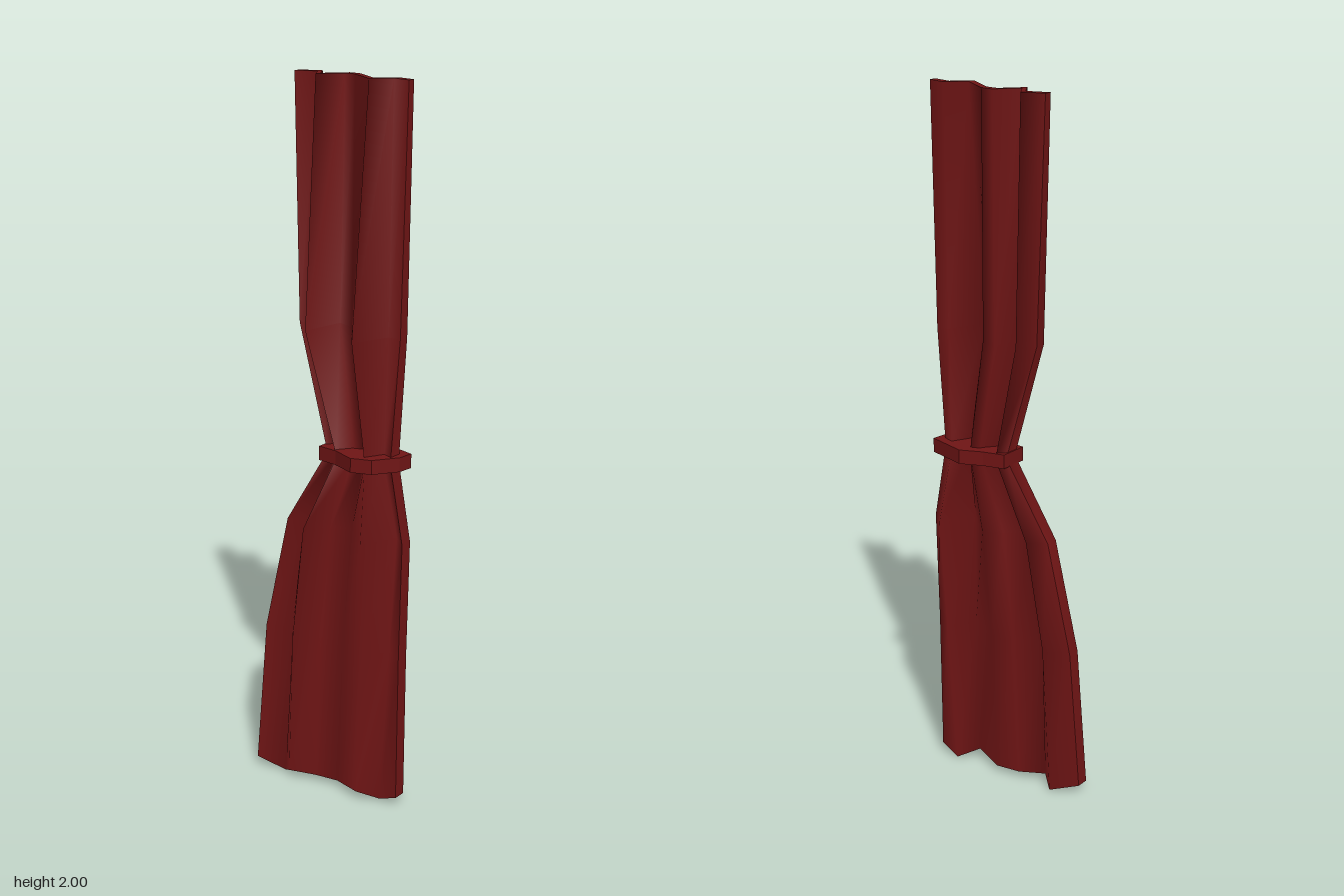
import * as THREE from 'three';
import { mergeGeometries } from 'three/addons/utils/BufferGeometryUtils.js';

const cloth = new THREE.MeshStandardMaterial({ color: 0x701515 });

// Each level: height, cloth thickness, x of the eight fold lines, z of the front face there
const levels = [
  { y: 0.02, t: 0.036, x: [-0.232, -0.15, -0.112, -0.04, 0.03, 0.12, 0.17, 0.23], z: [0.087, 0.057, 0.087, 0.055, 0.042, 0.072, 0.028, 0.032] },
  { y: 0.45, t: 0.036, x: [-0.212, -0.14, -0.1, -0.03, 0.035, 0.13, 0.175, 0.225], z: [0.062, 0.032, 0.08, 0.04, 0.022, 0.07, -0.005, 0.02] },
  { y: 0.78, t: 0.036, x: [-0.152, -0.1, -0.065, -0.01, 0.04, 0.13, 0.175, 0.222], z: [0.035, 0.005, 0.073, 0.02, -0.01, 0.07, -0.034, 0.005] },
  { y: 1.0, t: 0.038, x: [-0.02, 0.0, 0.03, 0.06, 0.085, 0.125, 0.15, 0.18], z: [0.022, 0.0, 0.045, 0.005, -0.005, 0.045, -0.005, 0.005] },
  { y: 1.34, t: 0.03, x: [-0.132, -0.09, -0.06, -0.04, 0.015, 0.115, 0.155, 0.19], z: [0.0, -0.035, 0.065, -0.06, -0.04, 0.09, -0.015, -0.02] },
  { y: 2.0, t: 0.021, x: [-0.18, -0.12, -0.085, -0.035, 0.0, 0.09, 0.135, 0.19], z: [-0.044, -0.066, -0.014, -0.072, -0.07, -0.01, -0.055, -0.044] },
];
const hem = [0.01, -0.02, 0.005, 0, 0, 0.01, -0.015, 0.01];

// Smooth sheet through rows of points, rows running upwards as seen from outside
function sheet(rows) {
  const n = rows[0].length, idx = [];
  for (let i = 0; i < rows.length - 1; i++) {
    for (let j = 0; j < n - 1; j++) {
      const a = i * n + j, b = a + n;
      idx.push(a, a + 1, b + 1, a, b + 1, b);
    }
  }
  const g = new THREE.BufferGeometry().setFromPoints(rows.flat());
  g.setIndex(idx);
  g.computeVertexNormals();
  return g;
}

// Folded cloth: front, back, the two side edges, top edge and hem
function drapeGeometry() {
  const face = back => levels.map((l, i) => l.x.map((x, k) =>
    new THREE.Vector3(x, l.y + (i === 0 ? hem[k] : 0), l.z[k] - (back ? l.t : 0))));
  const front = face(false), back = face(true);
  const last = levels.length - 1, end = hem.length - 1;
  return mergeGeometries([
    sheet(front),
    sheet(back.map(row => [...row].reverse())),
    sheet(front.map((row, i) => [back[i][0], row[0]])),
    sheet(front.map((row, i) => [row[end], back[i][end]])),
    sheet([front[last], back[last]]),
    sheet([back[0], front[0]]),
  ]);
}

// Faceted tie, drawn in (x, -z) and laid flat around the gathered waist
function bandGeometry() {
  const outline = [[-0.03, 0.045], [0.03, 0.05], [0.1, 0.075], [0.155, 0.055], [0.2, -0.01], [0.205, -0.055], [0.09, -0.083], [0.03, -0.055], [-0.03, -0.038]];
  const shape = new THREE.Shape(outline.map(([x, z]) => new THREE.Vector2(x, -z)));
  const g = new THREE.ExtrudeGeometry(shape, { depth: 0.04, bevelEnabled: false });
  return g.rotateX(-Math.PI / 2).translate(0, 0.98, 0);
}

export function createModel() {
  const group = new THREE.Group();
  group.name = 'tiedCurtain';
  const drape = new THREE.Mesh(drapeGeometry(), cloth);
  drape.name = 'drape';
  const band = new THREE.Mesh(bandGeometry(), cloth);
  band.name = 'tieBand';
  group.add(drape, band);
  return group;
}
